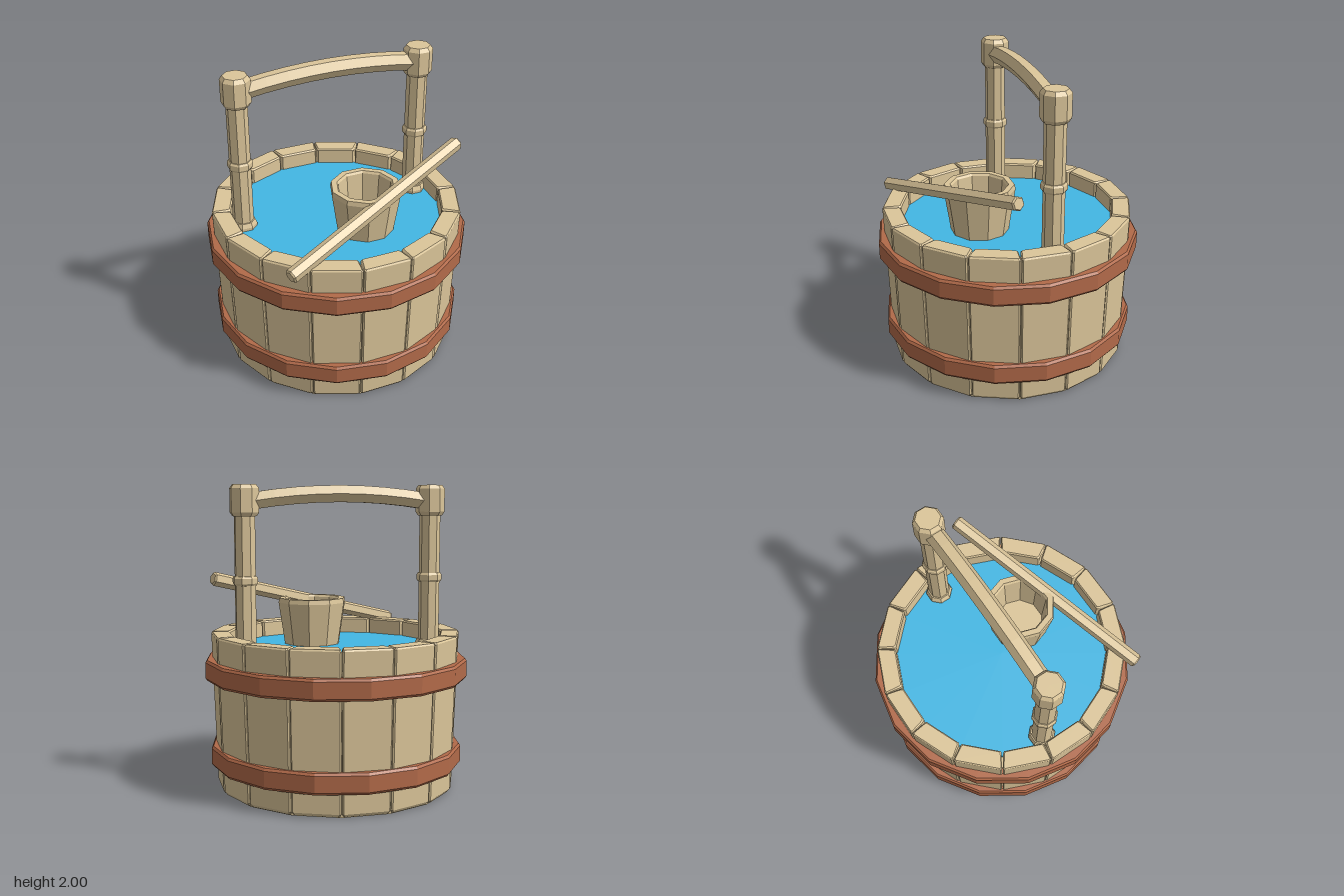
import * as THREE from 'three';

const wood = new THREE.MeshStandardMaterial({ color: 0xdcc69a, name: 'paleWood' });
const copper = new THREE.MeshStandardMaterial({ color: 0xb26a49, name: 'copperHoop' });
const blue = new THREE.MeshStandardMaterial({ color: 0x43b7e4, name: 'waterBlue' });

// Faceted mesh with one normal per face
function part(name, geometry, material, parent) {
  const g = geometry.index ? geometry.toNonIndexed() : geometry;
  g.computeVertexNormals();
  const mesh = new THREE.Mesh(g, material);
  mesh.name = name;
  parent.add(mesh);
  return mesh;
}

// Profile of [radius, y] pairs turned into an n-sided solid
function turned(profile, sides, start = 0) {
  return new THREE.LatheGeometry(profile.map(([r, y]) => new THREE.Vector2(r, y)), sides, start);
}

// Skin between matching loops of [x, y, z], closed at both ends
function loft(loops) {
  const pos = [];
  const tri = (a, b, c) => pos.push(...a, ...b, ...c);
  const n = loops[0].length;
  for (let i = 0; i < loops.length - 1; i++) {
    for (let j = 0; j < n; j++) {
      const k = (j + 1) % n;
      const a = loops[i][j], b = loops[i][k], c = loops[i + 1][k], d = loops[i + 1][j];
      tri(a, b, c);
      tri(a, c, d);
    }
  }
  const first = loops[0], last = loops[loops.length - 1];
  for (let j = 1; j < n - 1; j++) {
    tri(first[0], first[j + 1], first[j]);
    tri(last[0], last[j], last[j + 1]);
  }
  const g = new THREE.BufferGeometry();
  g.setAttribute('position', new THREE.Float32BufferAttribute(pos, 3));
  return g;
}

// Chamfered wedge outline of a stave at height y, shrunk by inset
function staveLoop(y, outer, inner, inset) {
  const t = Math.tan(Math.PI / 16), c = 0.008;
  const o = outer - inset, i = inner + inset;
  const wo = outer * t - 0.004 - inset, wi = inner * t - 0.004 - inset;
  return [
    [-wo + c, o], [wo - c, o], [wo, o - c], [wi, i + c],
    [wi - c, i], [-wi + c, i], [-wi, i + c], [-wo, o - c],
  ].map(([x, z]) => [x, y, z]);
}

function createTub() {
  const tub = new THREE.Group();
  tub.name = 'tub';
  const stave = loft([
    staveLoop(0.005, 0.785, 0.68, 0.012),
    staveLoop(0.025, 0.786, 0.68, 0),
    staveLoop(1.024, 0.816, 0.695, 0),
    staveLoop(1.035, 0.817, 0.695, 0.008),
  ]);
  for (let i = 0; i < 16; i++) {
    part('stave', stave, wood, tub).rotation.y = i * Math.PI / 8;
  }
  // Solid core closes the floor and the seams
  const core = new THREE.CylinderGeometry(0.785, 0.78, 0.9, 16, 1, false, Math.PI / 16);
  part('floorCore', core, wood, tub).position.y = 0.45;

  for (const [name, r, y] of [['upperHoop', 0.875, 0.8], ['lowerHoop', 0.844, 0.223]]) {
    const hoop = turned([
      [0.76, -0.068], [r - 0.012, -0.068], [r, -0.052],
      [r, 0.052], [r - 0.012, 0.068], [0.76, 0.068],
    ], 16);
    part(name, hoop, copper, tub).position.y = y;
  }
  const water = new THREE.CylinderGeometry(0.715, 0.715, 0.03, 16, 1, false, Math.PI / 16);
  part('water', water, blue, tub).position.y = 0.91;
  return tub;
}

function createHandle() {
  const handle = new THREE.Group();
  handle.name = 'handle';
  handle.position.z = -0.103;
  const pieces = {
    postShaft: [[0, 0.9], [0.069, 0.9], [0.069, 1.85], [0, 1.85]],
    postFoot: [[0, 0.91], [0.088, 0.91], [0.09, 0.945], [0.078, 0.975], [0.06, 0.975]],
    postRing: [[0.06, 1.36], [0.074, 1.362], [0.083, 1.375], [0.083, 1.408], [0.074, 1.421], [0.06, 1.423]],
    postCap: [[0, 1.8], [0.08, 1.8], [0.096, 1.825], [0.096, 1.975], [0.078, 2], [0, 2]],
  };
  for (const side of [-1, 1]) {
    const post = new THREE.Group();
    post.name = side > 0 ? 'leftPost' : 'rightPost';
    post.position.x = side * 0.62;
    for (const [name, profile] of Object.entries(pieces)) {
      part(name, turned(profile, 8, Math.PI / 8), wood, post);
    }
    handle.add(post);
  }
  // Arched six-sided crossbar
  const loops = [];
  for (let i = 0; i <= 8; i++) {
    const x = -0.58 + i * 0.145;
    const y = 1.942 - 0.042 * (x / 0.55) ** 2;
    const loop = [];
    for (let j = 0; j < 6; j++) {
      const a = j * Math.PI / 3;
      loop.push([x, y - 0.0625 * Math.sin(a), 0.0625 * Math.cos(a)]);
    }
    loops.push(loop.reverse());
  }
  part('crossbar', loft(loops.reverse()), wood, handle);
  return handle;
}

export function createModel() {
  const model = new THREE.Group();
  model.name = 'waterTub';
  model.add(createTub(), createHandle());

  // Small floating bucket
  const bucket = turned([
    [0, 0.905], [0.188, 0.905], [0.234, 1.21], [0.228, 1.24],
    [0.19, 1.24], [0.18, 1.225], [0.16, 0.96], [0, 0.96],
  ], 10, Math.PI / 10);
  part('smallBucket', bucket, wood, model).position.set(0.112, 0, 0.222);

  // Stirring stick leaning across the rim
  const from = new THREE.Vector3(-0.585, 1.024, 0.692);
  const to = new THREE.Vector3(0.797, 1.386, 0.175);
  const h = from.distanceTo(to) / 2;
  const stick = part('stick', turned([
    [0, -h], [0.038, -h], [0.047, -h + 0.01], [0.047, h - 0.01], [0.038, h], [0, h],
  ], 6), wood, model);
  stick.position.copy(from).add(to).multiplyScalar(0.5);
  stick.quaternion.setFromUnitVectors(new THREE.Vector3(0, 1, 0), to.clone().sub(from).normalize());
  return model;
}
